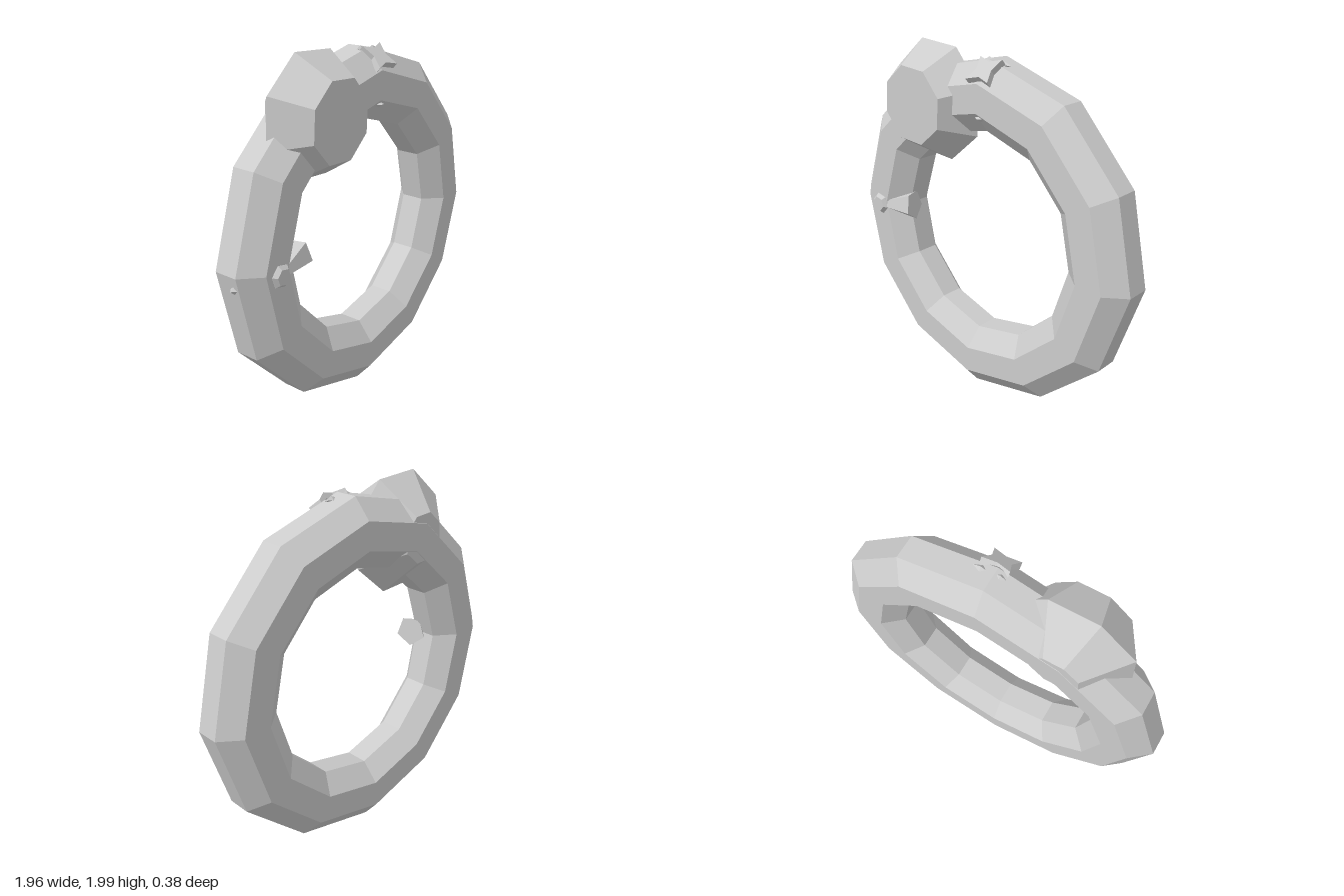
import * as THREE from 'three';

const stone = new THREE.MeshStandardMaterial({ color: 0xcccccc, flatShading: true });
stone.name = 'pale grey';

// Faceted solid turned about the z axis from [radius, z] points
function turned(name, profile, sides, start = 0) {
  const points = profile.map(([r, z]) => new THREE.Vector2(r, z));
  const geometry = new THREE.LatheGeometry(points, sides, start).rotateX(Math.PI / 2);
  const mesh = new THREE.Mesh(geometry, stone);
  mesh.name = name;
  return mesh;
}

// Small pointed chip set into the band
function chip(name, position, size) {
  const mesh = new THREE.Mesh(new THREE.OctahedronGeometry(1), stone);
  mesh.name = name;
  mesh.position.set(...position);
  mesh.scale.set(...size);
  return mesh;
}

export function createModel() {
  const group = new THREE.Group();
  group.name = 'gemRing';

  // Band: twelve straight segments with an octagonal section
  const section = [];
  for (let i = 0; i <= 8; i++) {
    const a = (i - 0.5) * Math.PI / 4;
    section.push([0.788 + 0.203 * Math.cos(a), -0.033 + 0.171 * Math.sin(a)]);
  }
  const band = turned('band', section, 12, -0.05);
  band.position.y = 0.98;
  group.add(band);

  // Gem: flat front, wide girdle, tapering into the band
  const gem = turned('gem',
    [[0, -0.189], [0.14, -0.189], [0.342, 0], [0.218, 0.193], [0, 0.193]], 8, 0.32);
  gem.position.set(-0.375, 1.675, 0);
  group.add(gem);

  // Side stud with a spike flaring toward the hole
  const stud = turned('sideStud', [[0.068, 0.1], [0.064, 0.127], [0.045, 0.147], [0, 0.147]], 6, 0.3);
  stud.position.set(-0.765, 0.99, 0);
  group.add(stud);

  const tip = new THREE.Vector3(-0.77, 0.985, 0.115);
  const base = new THREE.Vector3(-0.557, 1.01, 0.04);
  const axis = tip.clone().sub(base);
  const spike = new THREE.Mesh(new THREE.CylinderGeometry(0.02, 0.09, axis.length(), 5), stone);
  spike.name = 'sideSpike';
  spike.position.copy(tip).add(base).multiplyScalar(0.5);
  spike.quaternion.setFromUnitVectors(new THREE.Vector3(0, 1, 0), axis.normalize());
  group.add(spike);

  // Four-pointed star on the upper front bevel
  const outline = [];
  for (let i = 0; i < 8; i++) {
    const a = (i + 1) * Math.PI / 4;
    const r = i % 2 ? 0.05 : 0.105;
    outline.push(new THREE.Vector2(r * Math.cos(a), r * Math.sin(a)));
  }
  const star = new THREE.Mesh(new THREE.ExtrudeGeometry(new THREE.Shape(outline),
    { depth: 0.035, bevelEnabled: false }), stone);
  star.name = 'bevelStar';
  star.position.set(0.065, 1.89, 0.07);
  star.rotation.x = -0.85;
  group.add(star);

  // Chips breaking through the band
  group.add(
    chip('topChipLeft', [0.02, 1.945, 0], [0.03, 0.018, 0.018]),
    chip('topChipRight', [0.12, 1.932, 0], [0.045, 0.018, 0.018]),
    chip('innerChip', [0.05, 1.665, 0.1], [0.045, 0.02, 0.03]),
    chip('outerChip', [-0.955, 0.955, 0], [0.027, 0.025, 0.025]),
  );
  return group;
}
